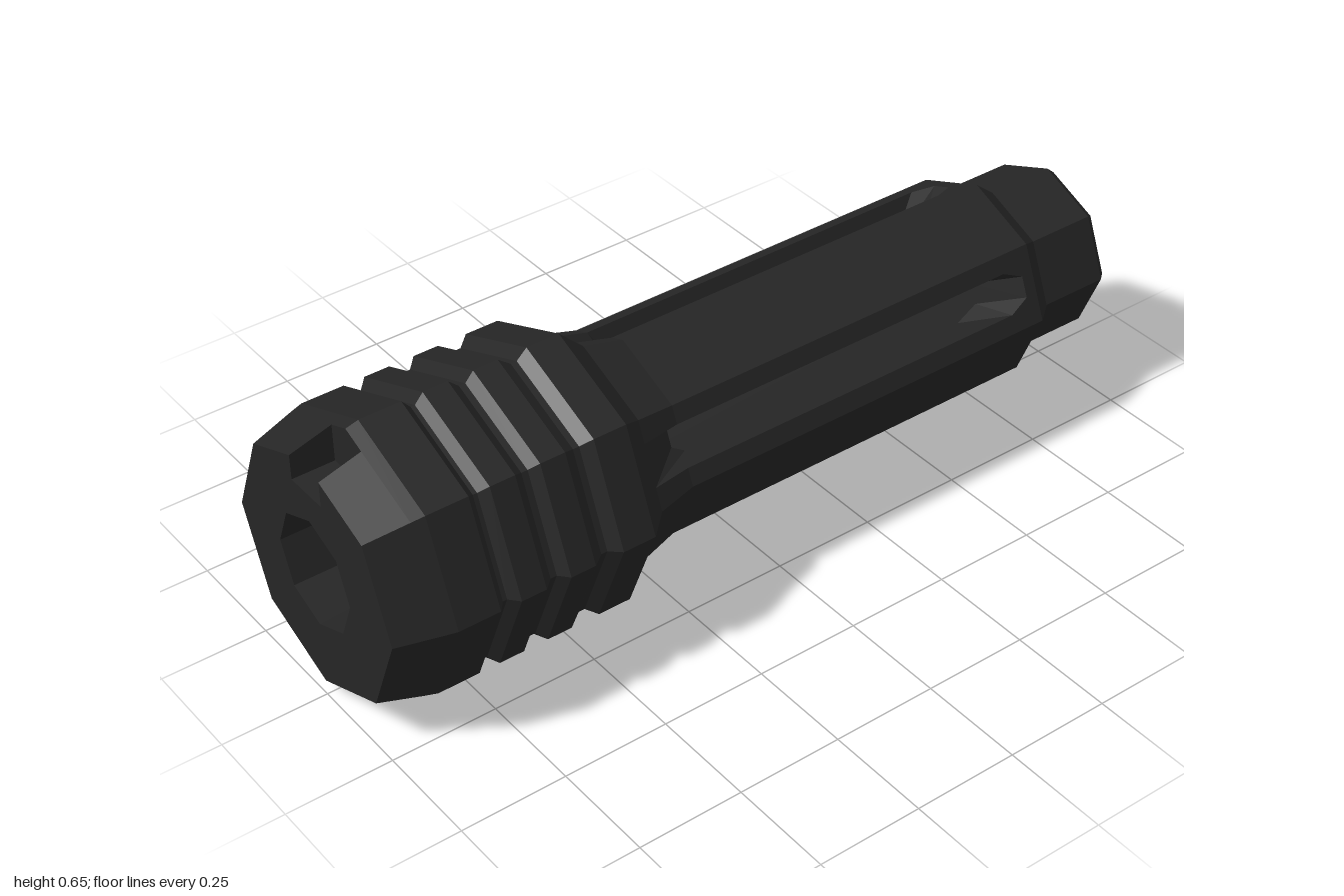
import * as THREE from 'three';

const CY = 0.325, BORE = 0.134, SIDES = 8;
const HALF = Math.PI / SIDES, C = Math.cos(HALF), T = Math.tan(HALF);
const NOTCH = { w: 0.055, floor: 0.205, x: -0.9 };

// Outer profile: [x, corner radius]
const PROFILE = [
  [-1, 0.288], [-0.9, 0.317], [-0.87, 0.325], [-0.77, 0.325], [-0.75, 0.302], [-0.74, 0.302], [-0.72, 0.325],
  [-0.66, 0.325], [-0.635, 0.302], [-0.62, 0.302], [-0.6, 0.325], [-0.54, 0.325], [-0.51, 0.302], [-0.495, 0.302],
  [-0.47, 0.325], [-0.39, 0.325], [-0.33, 0.267], [-0.23, 0.24], [0.76, 0.24], [0.81, 0.2], [0.98, 0.2], [1, 0.183],
];
// Slot outline: [outer x, outer half width, bore x, bore half width]
const SLOT = [
  [-0.33, 0.049, -0.2, 0.03], [-0.23, 0.049, -0.17, 0.049],
  [0.68, 0.049, 0.6, 0.049], [0.73, 0.025, 0.66, 0.025],
];

function radiusAt(x) {
  const i = Math.max(1, PROFILE.findIndex((p) => p[0] >= x - 1e-6));
  const [x0, r0] = PROFILE[i - 1], [x1, r1] = PROFILE[i];
  return r0 + (r1 - r0) * (x - x0) / (x1 - x0);
}

// Collects flat polygons, each turned to face along a hint direction
class Faces {
  constructor() { this.data = []; }
  add(pts, hint) {
    const n = new THREE.Vector3().subVectors(pts[2], pts[0])
      .cross(new THREE.Vector3().subVectors(pts[pts.length - 1], pts[1]));
    const p = n.dot(hint) >= 0 ? [...pts].reverse() : pts;
    const m = new THREE.Vector3().subVectors(p[1], p[0]).cross(new THREE.Vector3().subVectors(p[2], p[0]));
    if (m.dot(hint) < 0) p.reverse();
    for (let i = 1; i < p.length - 1; i++) {
      for (const v of [p[0], p[i], p[i + 1]]) this.data.push(v.x, v.y, v.z);
    }
  }
  mesh(name, material) {
    const g = new THREE.BufferGeometry();
    g.setAttribute('position', new THREE.Float32BufferAttribute(this.data, 3));
    g.computeVertexNormals();
    const m = new THREE.Mesh(g, material);
    m.name = name;
    return m;
  }
}

// Coordinates on side k: x along the axis, n outwards, u across the side
function sideFrame(k) {
  const f = HALF * (2 * k + 1), s = Math.sin(f), c = Math.cos(f);
  return {
    at: (x, n, u) => new THREE.Vector3(x, CY + n * s + u * c, n * c - u * s),
    out: new THREE.Vector3(0, s, c),
    across: new THREE.Vector3(0, c, -s),
  };
}

function octagon(target, r) {
  for (let i = 0; i < SIDES; i++) {
    const a = i * 2 * HALF, z = r * Math.cos(a), y = CY + r * Math.sin(a);
    if (i) target.lineTo(z, y); else target.moveTo(z, y);
  }
  target.closePath();
  return target;
}

function endFace(name, outline, x, turn, material) {
  outline.holes.push(octagon(new THREE.Path(), BORE));
  const g = new THREE.ShapeGeometry(outline).rotateY(turn).translate(x, 0, 0);
  const m = new THREE.Mesh(g, material);
  m.name = name;
  return m;
}

export function createModel() {
  const group = new THREE.Group();
  group.name = 'slottedMuzzleDevice';
  const metal = new THREE.MeshStandardMaterial({ color: 0x262626 });
  metal.name = 'blackMetal';

  const shell = new Faces(), bore = new Faces(), slots = new Faces(), notch = new Faces();
  const X = new THREE.Vector3(1, 0, 0), up = new THREE.Vector3(0, 1, 0);
  const b = BORE * C, be = b * T;

  for (let k = 0; k < SIDES; k++) {
    const { at, out, across } = sideFrame(k);
    const inward = out.clone().negate();
    const slotted = k % 2 === 0;
    const strip = (x0, x1, lo = 0, hi = 0) => {
      const a0 = radiusAt(x0) * C, a1 = radiusAt(x1) * C;
      shell.add([at(x0, a0, -a0 * T + lo), at(x1, a1, -a1 * T + lo),
        at(x1, a1, a1 * T - hi), at(x0, a0, a0 * T - hi)], out);
    };
    const boreStrip = (x0, x1) =>
      bore.add([at(x0, b, -be), at(x1, b, -be), at(x1, b, be), at(x0, b, be)], inward);

    // Outer skin, trimmed at the notch and left open at the slots
    for (let i = 0; i < PROFILE.length - 1; i++) {
      const x0 = PROFILE[i][0], x1 = PROFILE[i + 1][0];
      if (slotted && x0 >= -0.33 && x1 <= 0.76) continue;
      const cut = i === 0 ? NOTCH.w / C : 0;
      strip(x0, x1, k === 2 ? cut : 0, k === 1 ? cut : 0);
    }
    if (!slotted) { boreStrip(-1, 1); continue; }

    // Skin, walls and bore around one slot
    strip(0.73, 0.76);
    boreStrip(-1, -0.2);
    boreStrip(0.66, 1);
    for (const s of [1, -1]) {
      const facing = across.clone().multiplyScalar(-s);
      for (let i = 0; i < SLOT.length - 1; i++) {
        const [x0, h0, p0, q0] = SLOT[i], [x1, h1, p1, q1] = SLOT[i + 1];
        const a0 = radiusAt(x0) * C, a1 = radiusAt(x1) * C;
        shell.add([at(x0, a0, s * h0), at(x1, a1, s * h1), at(x1, a1, s * a1 * T), at(x0, a0, s * a0 * T)], out);
        slots.add([at(x0, a0, s * h0), at(x1, a1, s * h1), at(p1, b, s * q1), at(p0, b, s * q0)], facing);
        bore.add([at(p0, b, s * q0), at(p1, b, s * q1), at(p1, b, s * be), at(p0, b, s * be)], inward);
      }
    }
    // Sloped slot ends
    for (const [row, dir] of [[SLOT[0], 1], [SLOT[SLOT.length - 1], -1]]) {
      const [x, h, p, q] = row, a = radiusAt(x) * C;
      slots.add([at(x, a, -h), at(x, a, h), at(p, b, q), at(p, b, -q)], X.clone().multiplyScalar(dir));
    }
  }

  // Notch in the top of the wide end
  const { w, floor, x: nx } = NOTCH;
  const P = (x, y, z) => new THREE.Vector3(x, CY + y, z);
  const rim = (x) => radiusAt(x) - w * T;
  notch.add([P(-1, floor, -w), P(nx, floor, -w), P(nx, floor, w), P(-1, floor, w)], up);
  for (const s of [1, -1]) {
    notch.add([P(-1, floor, s * w), P(nx, floor, s * w), P(nx, rim(nx), s * w), P(-1, rim(-1), s * w)],
      new THREE.Vector3(0, 0, -s));
  }
  notch.add([P(nx, floor, -w), P(nx, floor, w), P(nx, rim(nx), w), P(nx, radiusAt(nx), 0), P(nx, rim(nx), -w)],
    X.clone().negate());

  // Wide end face with the notch in its outline
  const wide = new THREE.Shape(), r = radiusAt(-1);
  wide.moveTo(-w, CY + rim(-1));
  for (let i = 3; i <= 9; i++) {
    wide.lineTo(r * Math.cos(i * 2 * HALF), CY + r * Math.sin(i * 2 * HALF));
  }
  wide.lineTo(w, CY + rim(-1));
  wide.lineTo(w, CY + floor);
  wide.lineTo(-w, CY + floor);
  wide.closePath();

  group.add(
    shell.mesh('outerShell', metal),
    bore.mesh('bore', metal),
    slots.mesh('slotWalls', metal),
    notch.mesh('notch', metal),
    endFace('wideEndFace', wide, -1, -Math.PI / 2, metal),
    endFace('narrowEndFace', octagon(new THREE.Shape(), radiusAt(1)), 1, Math.PI / 2, metal),
  );
  return group;
}
